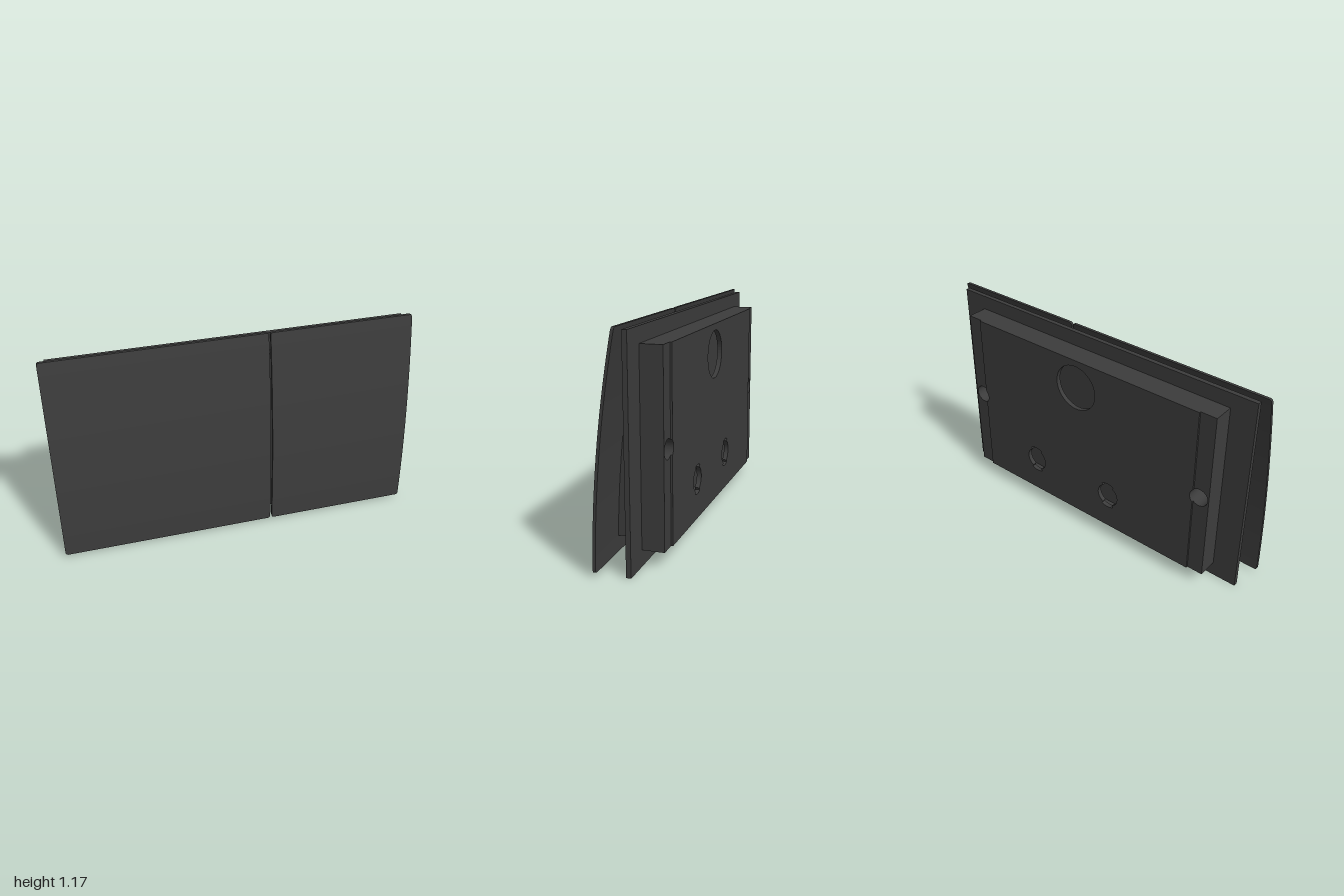
import * as THREE from 'three';

const charcoal = new THREE.MeshStandardMaterial({ color: 0x3c3c3c });
charcoal.name = 'charcoal';

const Y0 = 0.02, Y1 = 1.17, THICK = 0.015;
const SCREW = { x: 0.763, y: 0.578, r: 0.05 };

// front surface depth of the curved covers at height y
function coverZ(y) {
  const t = (y - Y0) / (Y1 - Y0);
  return 0.15 - 0.013 * t - 0.105 * t * t;
}

function rect(C, x0, y0, x1, y1) {
  return new C([[x0, y0], [x1, y0], [x1, y1], [x0, y1]].map(p => new THREE.Vector2(...p)));
}

function circle(x, y, r) {
  const p = new THREE.Path();
  p.absarc(x, y, r, 0, Math.PI * 2, true);
  return p;
}

// round hole with a notch above and below
function notchedHole(x, y) {
  const r = 0.066, outer = 0.08, a = 0.5;
  const p = new THREE.Path();
  p.absarc(x, y, r, -Math.PI / 2 + a, Math.PI / 2 - a, false);
  p.absarc(x, y, outer, Math.PI / 2 - a, Math.PI / 2 + a, false);
  p.absarc(x, y, r, Math.PI / 2 + a, Math.PI * 1.5 - a, false);
  p.absarc(x, y, outer, Math.PI * 1.5 - a, Math.PI * 1.5 + a, false);
  p.closePath();
  return p;
}

function part(name, geometry) {
  const m = new THREE.Mesh(geometry, charcoal);
  m.name = name;
  return m;
}

// flat slab from z0 to z1
function slab(name, shape, z0, z1) {
  const g = new THREE.ExtrudeGeometry(shape, { depth: z1 - z0, bevelEnabled: false, curveSegments: 24 });
  g.translate(0, 0, z0);
  return part(name, g);
}

// curved cover with small rounded corners
function cover(name, x0, x1) {
  const r = 0.012, rows = 28;
  const g = new THREE.BoxGeometry(1, 1, 1, 1, rows, 1);
  const p = g.attributes.position;
  for (let i = 0; i < p.count; i++) {
    const t = 0.5 - 0.5 * Math.cos(Math.PI * (p.getY(i) + 0.5));
    const y = Y0 + t * (Y1 - Y0);
    const e = Math.max(0, r - Math.min(y - Y0, Y1 - y));
    const inset = r - Math.sqrt(Math.max(0, r * r - e * e));
    const x = p.getX(i) < 0 ? x0 + inset : x1 - inset;
    p.setXYZ(i, x, y, coverZ(y) - (p.getZ(i) < 0 ? THICK : 0));
  }
  g.computeVertexNormals();
  return part(name, g);
}

export function createModel() {
  const group = new THREE.Group();
  group.name = 'wallPlate';

  // two curved covers with a narrow gap
  group.add(cover('wideCover', -1, 0.187), cover('narrowCover', 0.197, 1));

  // wedge core filling the space behind the covers
  const side = [new THREE.Vector2(0, 1.05), new THREE.Vector2(0, 0.105)];
  for (let i = 0; i <= 16; i++) {
    const y = 0.105 + (1.05 - 0.105) * i / 16;
    side.push(new THREE.Vector2(coverZ(y) - THICK, y));
  }
  const wedge = new THREE.ExtrudeGeometry(new THREE.Shape(side), { depth: 1.46, bevelEnabled: false });
  wedge.rotateY(-Math.PI / 2);
  wedge.translate(0.73, 0, 0);
  group.add(part('wedgeCore', wedge));

  // mounting plate
  group.add(slab('mountingPlate', rect(THREE.Shape, -0.96, 0, 0.96, 1.155), -0.025, 0));

  const screwHoles = () => [-1, 1].map(s => circle(s * SCREW.x, SCREW.y, SCREW.r));
  const portHoles = () => [circle(0.03, 0.91, 0.13), notchedHole(0.34, 0.3), notchedHole(-0.19, 0.3)];

  // hollow rear housing: walls and back panel
  const walls = rect(THREE.Shape, -0.82, 0.085, 0.82, 1.075);
  walls.holes.push(rect(THREE.Path, -0.7, 0.135, 0.7, 1.025), ...screwHoles());
  group.add(slab('housingWalls', walls, -0.125, -0.025));

  const back = rect(THREE.Shape, -0.82, 0.085, 0.82, 1.075);
  back.holes.push(...screwHoles(), ...portHoles());
  group.add(slab('housingBack', back, -0.14, -0.125));

  // raised centre panel, bitten by the screw holes at its sides
  const a = Math.acos((SCREW.x - 0.73) / SCREW.r);
  const raised = new THREE.Shape();
  raised.moveTo(-0.73, 0.085);
  raised.lineTo(0.73, 0.085);
  raised.absarc(SCREW.x, SCREW.y, SCREW.r, Math.PI + a, Math.PI - a, true);
  raised.lineTo(0.73, 1.075);
  raised.lineTo(-0.73, 1.075);
  raised.absarc(-SCREW.x, SCREW.y, SCREW.r, a, -a, true);
  raised.closePath();
  raised.holes.push(...portHoles());
  group.add(slab('raisedBackPanel', raised, -0.15, -0.14));

  return group;
}
